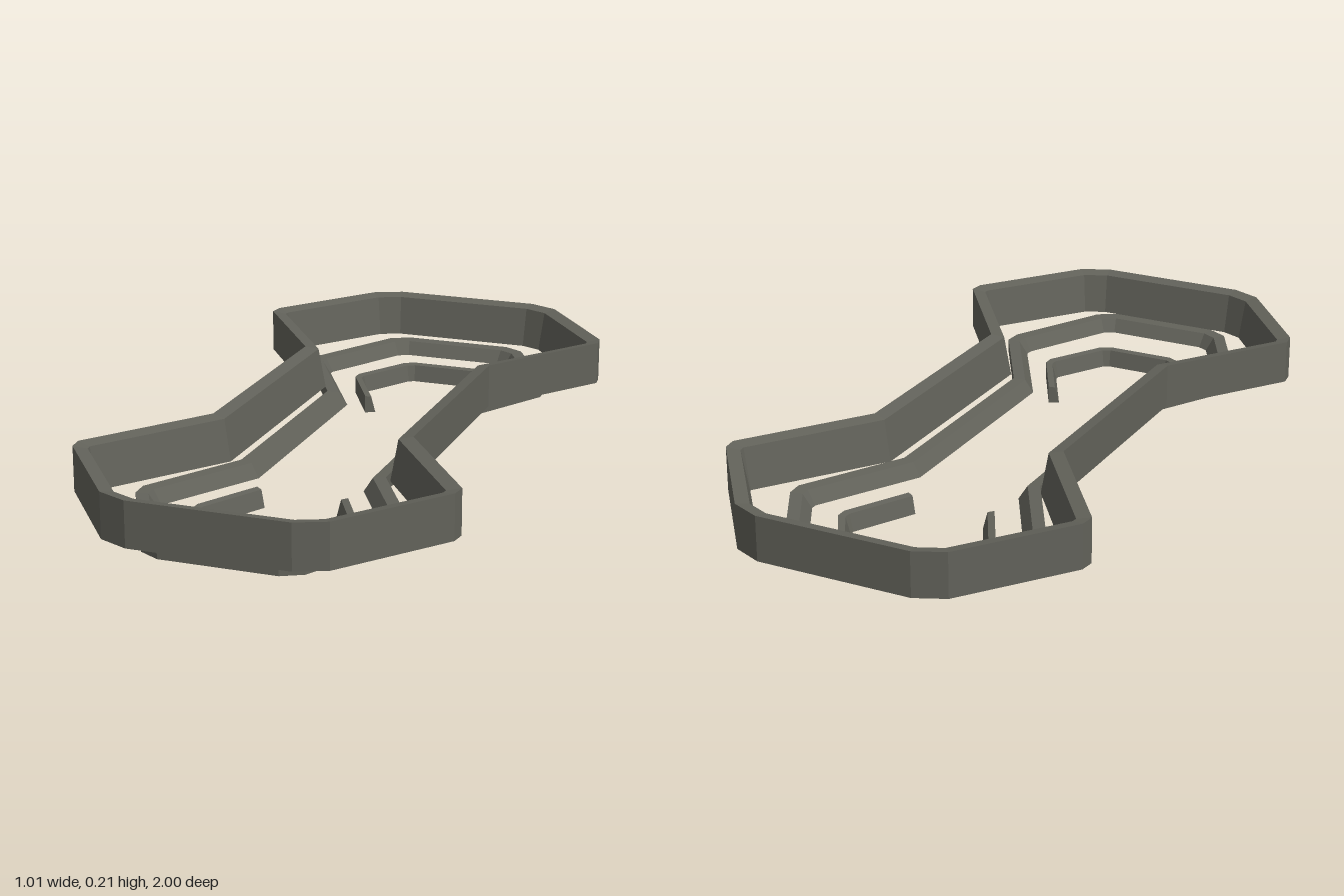
import * as THREE from 'three';

const gunmetal = new THREE.MeshStandardMaterial({ color: 0x62625a });

// Wall swept along a plan path [x, z]; its inner side leans inward toward the base.
function wall(name, path, closed, y0, y1, topWidth, baseWidth) {
  const n = path.length;
  const profile = [[0, y0], [0, y1], [topWidth, y1 - (y1 - y0) * 0.06], [baseWidth, y0]];
  const inward = (a, b) => new THREE.Vector2(b[1] - a[1], a[0] - b[0]).normalize();
  const pos = [], index = [];
  path.forEach((p, i) => {
    const prev = closed || i > 0 ? path[(i + n - 1) % n] : null;
    const next = closed || i < n - 1 ? path[(i + 1) % n] : null;
    const n1 = inward(prev || p, prev ? p : next);
    const n2 = inward(next ? p : prev, next || p);
    // mitre keeps the wall width constant round corners
    const m = n1.clone().add(n2).divideScalar(1 + n1.dot(n2));
    for (const [w, y] of profile) pos.push(p[0] + m.x * w, y, p[1] + m.y * w);
  });
  for (let i = 0; i < (closed ? n : n - 1); i++) {
    const j = (i + 1) % n;
    for (let k = 0; k < 4; k++) {
      const l = (k + 1) % 4;
      index.push(i * 4 + k, j * 4 + k, i * 4 + l, j * 4 + k, j * 4 + l, i * 4 + l);
    }
  }
  if (!closed) {
    const e = (n - 1) * 4;
    index.push(0, 1, 2, 0, 2, 3, e, e + 2, e + 1, e, e + 3, e + 2);
  }
  let geo = new THREE.BufferGeometry();
  geo.setAttribute('position', new THREE.Float32BufferAttribute(pos, 3));
  geo.setIndex(index);
  geo = geo.toNonIndexed();
  geo.computeVertexNormals();
  const mesh = new THREE.Mesh(geo, gunmetal);
  mesh.name = name;
  return mesh;
}

// Mirror a -x half path across x = 0 and join both halves.
const mirrored = (half) => [...half, ...half.map(([x, z]) => [-x, z]).reverse()];

export function createModel() {
  const group = new THREE.Group();
  group.name = 'steppedFrame';

  // Tall outer rim
  const rim = [[-0.21, -1], [-0.29, -0.965], [-0.5, -0.69], [-0.505, -0.65], [-0.275, -0.33]];
  const rimFront = rim.map(([x, z]) => [x, -z]).reverse();
  group.add(wall('outerRim', mirrored([...rim, ...rimFront]), true, 0.09, 0.21, 0.036, 0.055));

  // Middle step, a little longer at the front
  const step = [
    [-0.155, -0.915], [-0.21, -0.885], [-0.352, -0.63], [-0.355, -0.585], [-0.2, -0.31],
    [-0.2, 0.325], [-0.355, 0.595], [-0.352, 0.645], [-0.21, 0.915], [-0.155, 0.945],
  ];
  group.add(wall('middleStep', mirrored(step), true, 0.05, 0.09, 0.032, 0.055));

  // Open hexagonal feet at each end
  const foot = [[-0.125, 0.4], [-0.217, 0.57], [-0.217, 0.6], [-0.125, 0.755], [-0.095, 0.77]];
  const front = mirrored(foot);
  const back = front.map(([x, z]) => [-x, -z - 0.02]);
  group.add(wall('frontFoot', front, false, 0, 0.05, 0.018, 0.03));
  group.add(wall('backFoot', back, false, 0, 0.05, 0.018, 0.03));

  return group;
}
